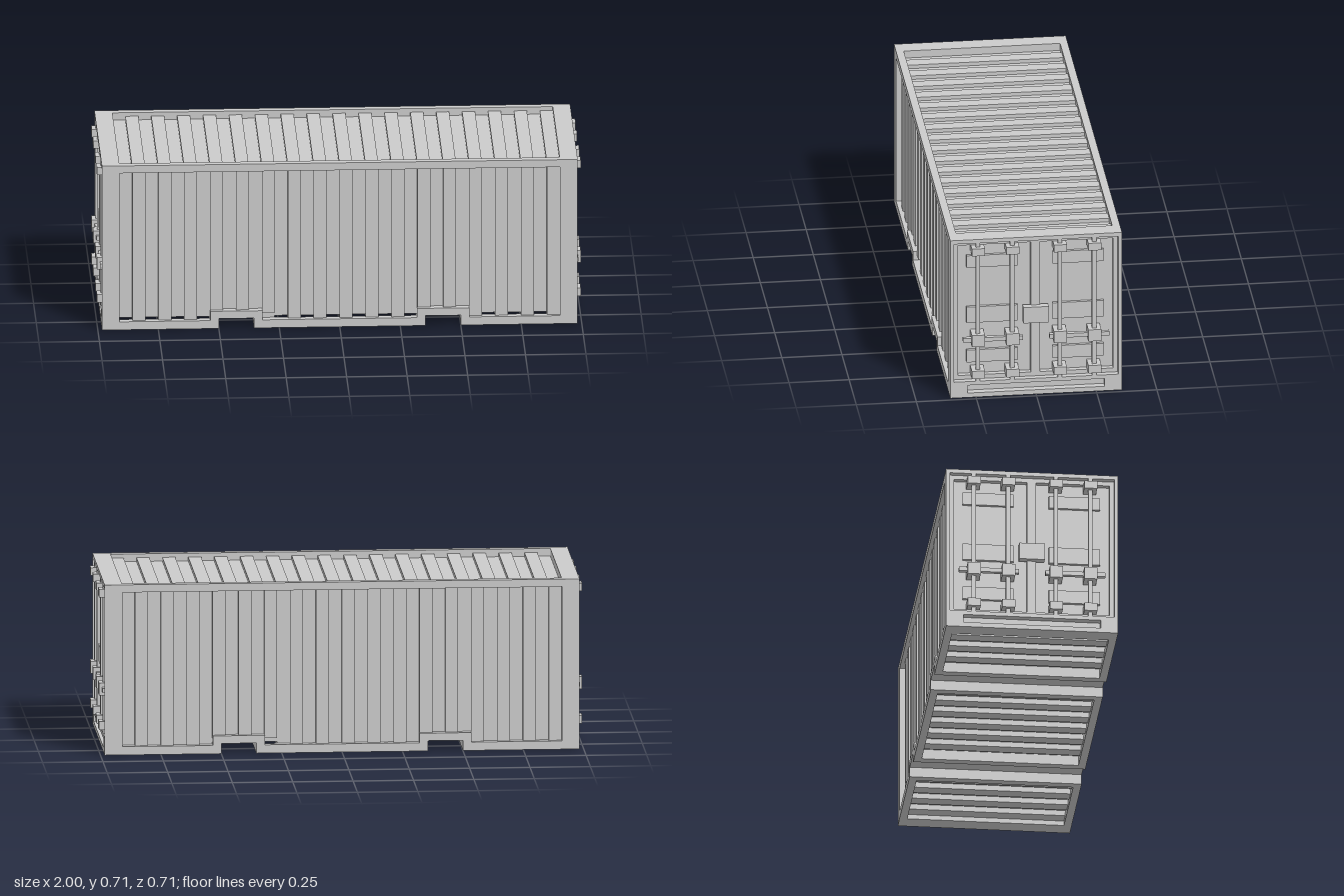
import * as THREE from 'three';

const mat = new THREE.MeshStandardMaterial({ color: 0xcccccc, flatShading: true });

// Box given by its low and high corners
function box(parent, name, x0, x1, y0, y1, z0, z1) {
  const m = new THREE.Mesh(new THREE.BoxGeometry(x1 - x0, y1 - y0, z1 - z0), mat);
  m.position.set((x0 + x1) / 2, (y0 + y1) / 2, (z0 + z1) / 2);
  m.name = name;
  parent.add(m);
}

const toPoints = (list) => list.map(([x, y]) => new THREE.Vector2(x, y));
const rect = (x0, x1, y0, y1) => [[x0, y0], [x1, y0], [x1, y1], [x0, y1]];

// Flat plate with holes, spanning z0 to z1
function plate(parent, name, outline, holes, z0, z1) {
  const shape = new THREE.Shape(toPoints(outline));
  holes.forEach((h) => shape.holes.push(new THREE.Path(toPoints(h))));
  const geo = new THREE.ExtrudeGeometry(shape, { depth: z1 - z0, bevelEnabled: false });
  geo.translate(0, 0, z0);
  const m = new THREE.Mesh(geo, mat);
  m.name = name;
  parent.add(m);
}

// Main sizes
const L = 0.983, H = 0.715, W = 0.357;
const FRAME_X = 0.953, OPEN_X = 0.91, OPEN_Z = 0.325, OPEN_TOP = 0.683;
const POCKET = [0.355, 0.5], LIP = [0.32, 0.535], POCKET_H = 0.043, LIP_H = 0.075;
const SEGMENTS = 34, STEP = (2 * OPEN_X) / SEGMENTS;

// Calls back with the x range of every corrugation rib
function eachRib(fn) {
  for (let i = 1; i < SEGMENTS; i += 2) fn(-OPEN_X + i * STEP, -OPEN_X + (i + 1) * STEP);
}

// Bottom edge from left to right, stepping up over both fork pockets
function steppedEdge(end, y, [a, b], h) {
  return [[-end, y], [-b, y], [-b, h], [-a, h], [-a, y],
    [a, y], [a, h], [b, h], [b, y], [end, y]];
}

// Long side facing +z
function makeSide() {
  const g = new THREE.Group();
  g.name = 'side';
  const outline = [...steppedEdge(FRAME_X, 0, POCKET, POCKET_H), [FRAME_X, H], [-FRAME_X, H]];
  const hole = [...steppedEdge(OPEN_X, 0.035, LIP, LIP_H), [OPEN_X, OPEN_TOP], [-OPEN_X, OPEN_TOP]];
  plate(g, 'sideFrame', outline, [hole], OPEN_Z, W);
  eachRib((a, b) => {
    const overPocket = [-1, 1].some((s) => {
      const c = (s * (a + b)) / 2;
      return c > LIP[0] - STEP / 2 && c < LIP[1] + STEP / 2;
    });
    box(g, 'sideRib', a, b, overPocket ? 0.06 : 0.035, OPEN_TOP, OPEN_Z - 0.005, 0.341);
  });
  return g;
}

// Door end, built facing +z
function makeEnd() {
  const g = new THREE.Group();
  g.name = 'doorEnd';
  plate(g, 'endFrame', rect(-W, W, 0, H),
    [rect(-0.342, 0.342, 0.072, 0.698), rect(-0.285, 0.285, 0.02, 0.055)], FRAME_X, L);
  plate(g, 'doorLeaves', rect(-0.345, 0.345, 0.065, 0.705),
    [rect(-0.323, -0.019, 0.09, 0.68), rect(0.019, 0.323, 0.09, 0.68)], 0.93, 0.958);
  box(g, 'lockPlate', -0.053, 0.053, 0.322, 0.394, 0.95, 0.98);
  for (const s of [-1, 1]) {
    const side = new THREE.Group();
    side.name = 'doorFittings';
    g.add(side);
    const span = (name, a, b, ...rest) =>
      box(side, name, Math.min(s * a, s * b), Math.max(s * a, s * b), ...rest);
    // Raised belts on the door panel
    for (const [y0, y1] of [[0.143, 0.199], [0.322, 0.394], [0.573, 0.627]]) {
      span('doorBelt', 0.073, 0.285, y0, y1, 0.93, 0.948);
    }
    // Locking rods and their brackets
    for (const c of [0.099, 0.242]) {
      span('lockRod', c - 0.009, c + 0.009, 0.072, 0.698, 0.965, L);
      for (const [y0, y1] of [[0.09, 0.125], [0.235, 0.287], [0.647, 0.68]]) {
        span('rodBracket', c - 0.027, c + 0.027, y0, y1, 0.935, 1);
      }
    }
    span('doorHandle', 0.055, 0.304, 0.252, 0.27, 0.97, 0.988);
  }
  return g;
}

export function createModel() {
  const root = new THREE.Group();
  root.name = 'shippingContainer';

  // Inner shell that forms the floor of every groove
  box(root, 'shell', -0.935, 0.935, POCKET_H, OPEN_TOP, -OPEN_Z, OPEN_Z);

  for (const turn of [0, Math.PI]) {
    const side = makeSide();
    side.rotation.y = turn;
    root.add(side);
    const end = makeEnd();
    end.rotation.y = turn + Math.PI / 2;
    root.add(end);
  }

  // Cross beams of the roof and floor
  for (const s of [-1, 1]) {
    const beam = (name, a, b, y0, y1) =>
      box(root, name, Math.min(s * a, s * b), Math.max(s * a, s * b), y0, y1, -OPEN_Z, OPEN_Z);
    beam('roofBeam', OPEN_X, FRAME_X, OPEN_TOP, H);
    beam('floorBeam', OPEN_X, FRAME_X, 0, 0.06);
    beam('pocketBeam', LIP[0], POCKET[0], 0, POCKET_H);
    beam('pocketBeam', POCKET[1], LIP[1], 0, POCKET_H);
  }

  // Roof ribs, and floor ribs clipped to the three bays
  const bays = [[-OPEN_X, -LIP[1]], [-LIP[0], LIP[0]], [LIP[1], OPEN_X]];
  eachRib((a, b) => {
    box(root, 'roofRib', a, b, OPEN_TOP - 0.005, 0.699, -OPEN_Z, OPEN_Z);
    for (const [lo, hi] of bays) {
      const x0 = Math.max(a, lo), x1 = Math.min(b, hi);
      if (x1 - x0 > 0.01) box(root, 'floorRib', x0, x1, 0.02, POCKET_H + 0.005, -OPEN_Z, OPEN_Z);
    }
  });
  return root;
}
